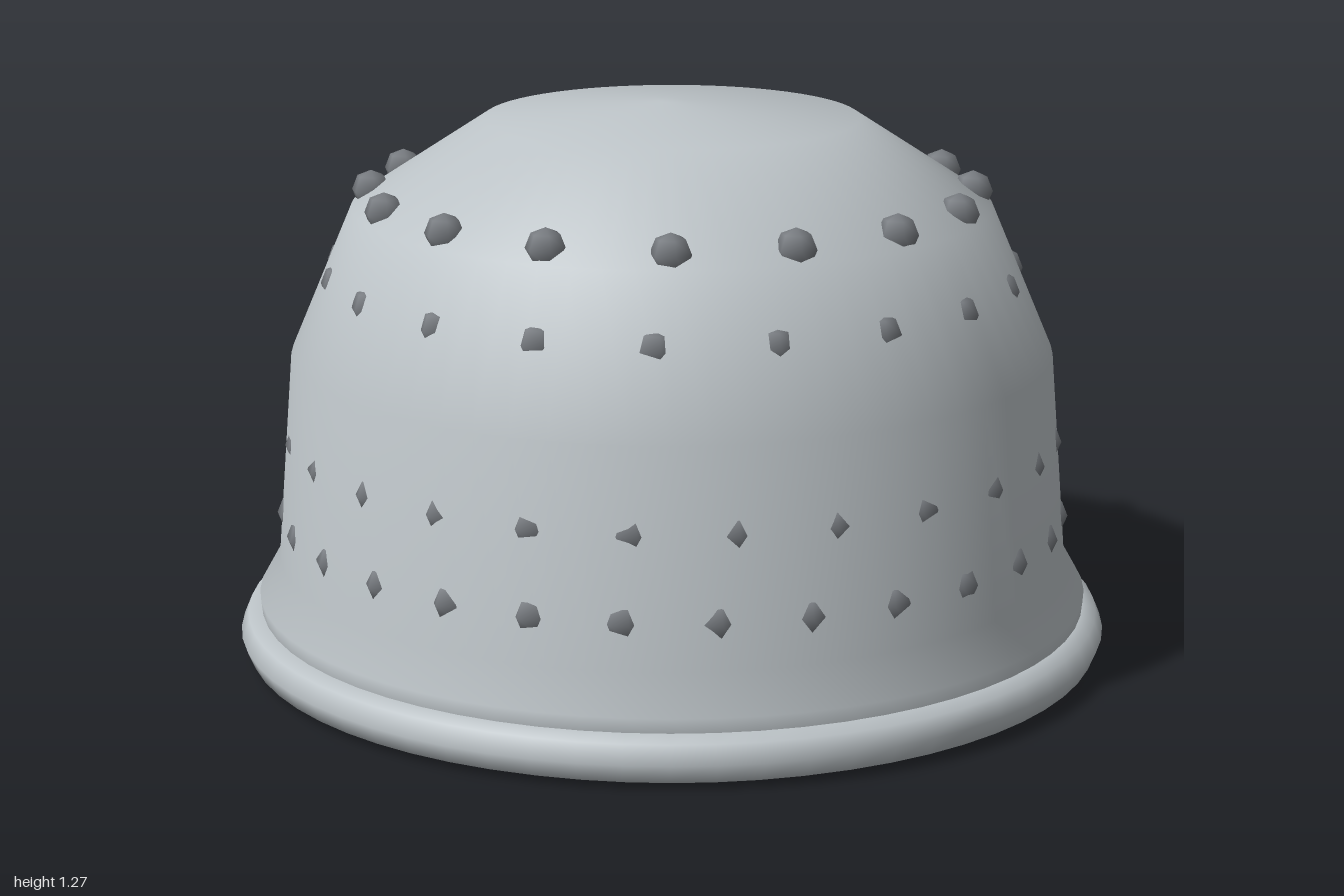
import * as THREE from 'three';

export function createModel() {
  const model = new THREE.Group();
  model.name = 'studdedBowl';

  const shellMetal = new THREE.MeshStandardMaterial({ color: 0xbdc4c8 });
  shellMetal.name = 'light grey metal';
  const studMetal = new THREE.MeshStandardMaterial({ color: 0x777b80 });
  studMetal.name = 'dark grey metal';

  // Thick domed shell: inner wall downwards, then outer wall upwards
  const profile = [
    [0, 1.217], [0.03, 1.217], [0.405, 1.182], [0.678, 1.008],
    [0.811, 0.698], [0.849, 0.22], [0.897, 0.135], [0.9, 0.06],
    [0.945, 0.06], [0.955, 0.15], [0.907, 0.235], [0.868, 0.71],
    [0.725, 1.045], [0.425, 1.24], [0.03, 1.275], [0, 1.275],
  ].map(([r, y]) => new THREE.Vector2(r, y));
  const shell = new THREE.Mesh(new THREE.LatheGeometry(profile, 64), shellMetal);
  shell.name = 'shell';
  model.add(shell);

  // Rolled rim
  const rim = new THREE.Mesh(new THREE.TorusGeometry(0.942, 0.058, 8, 64), shellMetal);
  rim.name = 'rim';
  rim.rotation.x = Math.PI / 2;
  rim.position.y = 0.063;
  model.add(rim);

  // Rings of studs passing through the shell, each ring starting at -x;
  // the middle ring only breaks through on the inside
  const studGeometry = new THREE.SphereGeometry(0.046, 6, 4).rotateY(Math.PI / 2);
  const rings = [
    { name: 'lowestStuds', count: 28, radius: 0.867, y: 0.333 },
    { name: 'lowerStuds', count: 25, radius: 0.849, y: 0.518 },
    { name: 'innerStuds', count: 22, radius: 0.81, y: 0.702 },
    { name: 'upperStuds', count: 19, radius: 0.758, y: 0.886 },
    { name: 'topStuds', count: 16, radius: 0.682, y: 1.07 },
  ];
  for (const { name, count, radius, y } of rings) {
    const ring = new THREE.Group();
    ring.name = name;
    for (let i = 0; i < count; i++) {
      const a = (i / count) * Math.PI * 2;
      const stud = new THREE.Mesh(studGeometry, studMetal);
      stud.name = 'stud';
      stud.position.set(-radius * Math.cos(a), y, radius * Math.sin(a));
      ring.add(stud);
    }
    model.add(ring);
  }

  return model;
}
